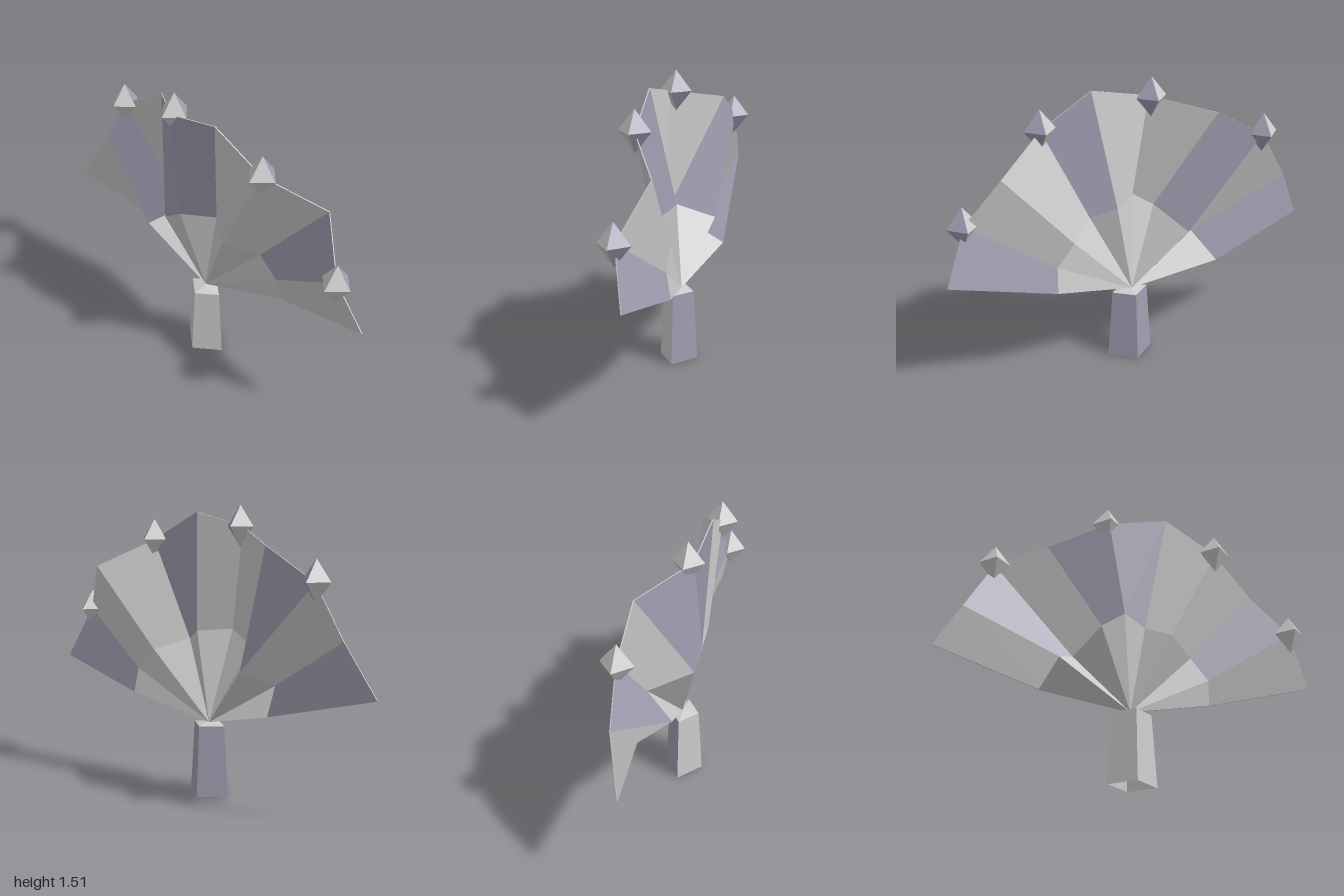
import * as THREE from 'three';

const gray = new THREE.MeshStandardMaterial({ name: 'gray', color: 0xcccccc });
const mauve = new THREE.MeshStandardMaterial({ name: 'mauve gray', color: 0xa09eb1 });
const GRAY = 0, MAUVE = 1;

// Splits a geometry into flat triangles and picks a material for each by its centre
function paint(source, rule) {
  const geo = source.index ? source.toNonIndexed() : source;
  geo.clearGroups();
  geo.computeVertexNormals();
  const p = geo.attributes.position;
  for (let i = 0; i < p.count; i += 3) {
    const c = new THREE.Vector3();
    for (let k = 0; k < 3; k++) c.add(new THREE.Vector3().fromBufferAttribute(p, i + k));
    geo.addGroup(i, 3, rule(c.divideScalar(3)));
  }
  return geo;
}

function addMesh(parent, name, geo) {
  const mesh = new THREE.Mesh(geo, [gray, mauve]);
  mesh.name = name;
  parent.add(mesh);
  return mesh;
}

// Pleat points from right to left of the model: outer rim and middle bend
const rim = [
  [-1, 0.64, 0], [-0.86, 0.91, -0.075], [-0.71, 1.17, -0.09], [-0.43, 1.33, -0.1], [-0.14, 1.4, 0.1],
  [0.17, 1.465, 0.105], [0.45, 1.31, 0.08], [0.715, 1.165, -0.095], [0.88, 0.91, 0.02], [1, 0.635, -0.05],
];
const bend = [
  [-0.45, 0.5, -0.1], [-0.38, 0.62, 0.06], [-0.28, 0.7, -0.1], [-0.18, 0.79, 0.115], [-0.06, 0.87, 0.12],
  [0.08, 0.86, 0], [0.2, 0.8, 0.08], [0.34, 0.74, -0.05], [0.44, 0.63, -0.065], [0.45, 0.5, -0.09],
];
const pivot = [0, 0.385, 0];
const halfThickness = 0.003;

// Outer panel colours on each side, one per pleat
const frontTones = [GRAY, MAUVE, GRAY, MAUVE, MAUVE, GRAY, GRAY, MAUVE, GRAY];
const backTones = [MAUVE, GRAY, MAUVE, GRAY, GRAY, MAUVE, GRAY, GRAY, MAUVE];

const shifted = ([x, y, z], dz) => new THREE.Vector3(x, y, z + dz);

// Builds three- or four-cornered panels; a slightly twisted one keeps a single flat normal
function panels(list) {
  const points = [], normals = [];
  const geo = new THREE.BufferGeometry();
  list.forEach(({ v, order, tone }) => {
    const n = v[2].clone().sub(v[0]).cross(v[v.length - 1].clone().sub(v[1])).normalize();
    geo.addGroup(points.length / 3, order.length, tone);
    order.forEach((k) => {
      points.push(...v[k].toArray());
      normals.push(...n.toArray());
    });
  });
  geo.setAttribute('position', new THREE.Float32BufferAttribute(points, 3));
  geo.setAttribute('normal', new THREE.Float32BufferAttribute(normals, 3));
  return geo;
}

// One face of the leaf: an inner triangle and an outer panel for each pleat
function leafSide(tones, facesFront) {
  const dz = facesFront ? halfThickness : -halfThickness;
  const corners = (list) => {
    const v = list.map((c) => shifted(c, dz));
    return facesFront ? v : v.reverse();
  };
  const quad = facesFront ? [0, 1, 2, 0, 2, 3] : [0, 1, 3, 1, 2, 3];
  return panels(tones.flatMap((tone, i) => [
    { v: corners([pivot, bend[i + 1], bend[i]]), order: [0, 1, 2], tone: GRAY },
    { v: corners([bend[i], bend[i + 1], rim[i + 1], rim[i]]), order: quad, tone },
  ]));
}

// Narrow strip closing the outline of the leaf
function leafEdge() {
  const outline = [pivot, bend[0], ...rim, bend[9]];
  return panels(outline.map((a, i) => {
    const b = outline[(i + 1) % outline.length];
    const v = [
      shifted(a, halfThickness), shifted(b, halfThickness),
      shifted(b, -halfThickness), shifted(a, -halfThickness),
    ];
    return { v, order: [0, 1, 2, 0, 2, 3], tone: GRAY };
  }));
}

export function createModel() {
  const model = new THREE.Group();
  model.name = 'foldingFan';

  // Four-sided tapering handle, hollow and open below, with a shallow pointed top
  const handle = new THREE.Group();
  handle.name = 'handle';
  handle.position.set(0.008, 0, 0.009);
  handle.scale.z = 0.81;
  model.add(handle);
  const shaft = new THREE.CylinderGeometry(0.1, 0.127, 0.375, 4, 1, true);
  shaft.translate(0, 0.1875, 0);
  addMesh(handle, 'handleShaft', paint(shaft, (c) => (c.z < 0 ? MAUVE : GRAY)));
  // Mirroring the open shaft turns its faces inward
  addMesh(handle, 'handleLining', paint(shaft.toNonIndexed().scale(-0.96, 1, 0.96), () => GRAY));
  const cap = new THREE.ConeGeometry(0.1, 0.017, 4, 1, true);
  cap.translate(0, 0.3835, 0);
  addMesh(handle, 'handleCap', paint(cap, () => GRAY));

  // Pleated leaf, both sides
  const leaf = new THREE.Group();
  leaf.name = 'leaf';
  model.add(leaf);
  addMesh(leaf, 'leafFront', leafSide(frontTones, true));
  addMesh(leaf, 'leafBack', leafSide(backTones, false));
  addMesh(leaf, 'leafEdge', leafEdge());

  // Octahedral studs on four rim points
  const studShape = paint(
    new THREE.OctahedronGeometry(1).scale(0.083, 0.105, 0.083),
    (c) => (c.x > 0 && c.z < 0 ? MAUVE : GRAY),
  );
  [[-0.71, 1.177, -0.085], [-0.143, 1.403, 0.072], [0.45, 1.315, 0.08], [0.88, 0.908, 0.025]]
    .forEach((at) => addMesh(model, 'rimStud', studShape).position.set(...at));

  return model;
}
